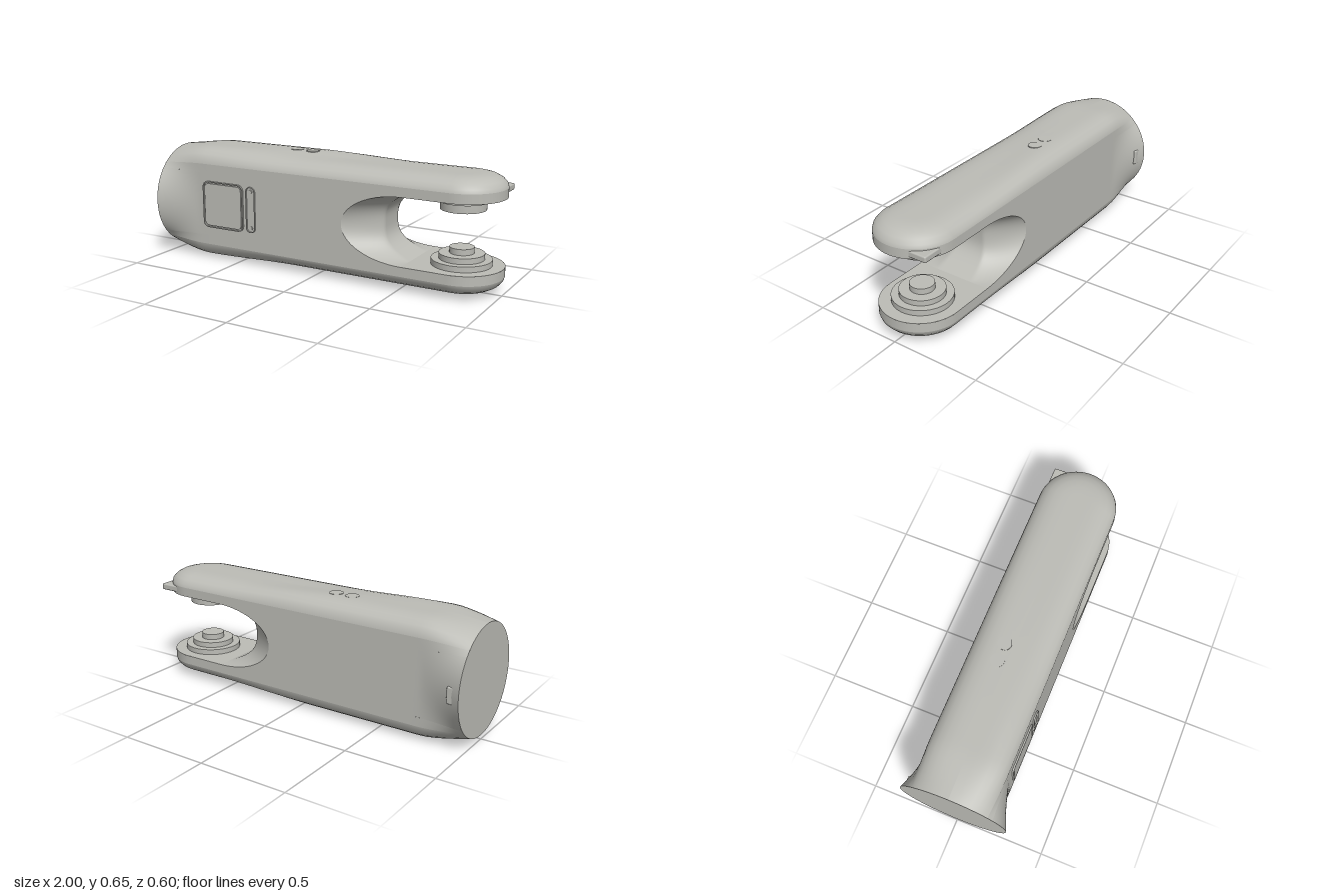
import * as THREE from 'three';
import { RoundedBoxGeometry } from 'three/addons/geometries/RoundedBoxGeometry.js';

const CY = 0.3225;   // height of the long axis
const HW = 0.22;     // half width of the body
const GAP = 0.183;   // half height of the fork gap
const TIP = 0.78;    // centre of the rounded arm ends
const ROOT = 0.53;   // where the arms leave the body

const grey = new THREE.MeshStandardMaterial({ color: 0xbcbcb6, side: THREE.DoubleSide });
grey.name = 'warm grey';

const clamp = (v) => Math.min(1, Math.max(0, v));
const smooth = (v) => { v = clamp(v); return v * v * (3 - 2 * v); };

// Surface from a rule fn(u, v) -> [x, y, z]
function grid(nu, nv, fn, flip = false) {
  const pos = [], idx = [];
  for (let j = 0; j <= nv; j++)
    for (let i = 0; i <= nu; i++) pos.push(...fn(i / nu, j / nv));
  for (let j = 0; j < nv; j++)
    for (let i = 0; i < nu; i++) {
      const a = j * (nu + 1) + i, b = a + 1, c = a + nu + 1, d = c + 1;
      if (flip) idx.push(a, c, b, b, c, d);
      else idx.push(a, b, c, b, d, c);
    }
  const g = new THREE.BufferGeometry();
  g.setAttribute('position', new THREE.Float32BufferAttribute(pos, 3));
  g.setIndex(idx);
  g.computeVertexNormals();
  return g;
}

// Body point: diagonal swell on top and bottom, flare to a round rear end
function bodyPoint(x, h, z) {
  const swell = 0.0175 * smooth((0.2 - 2 * z - x) / 0.6) * Math.sqrt(clamp((Math.abs(h) - 0.235) / 0.07));
  h += Math.sign(h) * swell;
  const t = Math.pow(clamp((-0.75 - x) / 0.25), 1.4);
  const a = Math.atan2(h, z);
  return [x, CY + h + (0.3 * Math.sin(a) - h) * t, z + (0.3 * Math.cos(a) - z) * t];
}

// Outline of an arm: front edge, rounded tip, back edge
function outline(u, r) {
  const s = u * 3;
  if (s <= 1) return [-1 + (TIP + 1) * s, r];
  if (s >= 2) return [-1 + (TIP + 1) * (3 - s), -r];
  const a = Math.PI * (1.5 - s);
  return [TIP + r * Math.cos(a), r * Math.sin(a)];
}

// Fork throat: rim on the side faces and wall at the middle
const rimX = (n) => ROOT - 0.35 * Math.sqrt(Math.max(0, 1 - n * n));
const coreX = (n) => 0.37 + (ROOT - 0.37) * Math.pow(Math.abs(n), 3);

function roundedRect(w, h, r) {
  const s = new THREE.Shape(), x = w / 2, y = h / 2;
  s.absarc(x - r, y - r, r, 0, Math.PI / 2);
  s.absarc(r - x, y - r, r, Math.PI / 2, Math.PI);
  s.absarc(r - x, r - y, r, Math.PI, Math.PI * 1.5);
  s.absarc(x - r, r - y, r, Math.PI * 1.5, Math.PI * 2);
  s.closePath();
  return s;
}

export function createModel() {
  const model = new THREE.Group();
  const add = (name, geo, x = 0, y = 0, z = 0) => {
    const m = new THREE.Mesh(geo, grey);
    m.name = name;
    m.position.set(x, y, z);
    model.add(m);
    return m;
  };

  // Upper and lower shells, each with a straight wall, a dome and an inner arm face
  const dome = [[HW, 0.235], [0.214, 0.254], [0.195, 0.275], [0.165, 0.292], [0.13, 0.301], [0.09, 0.305], [0.045, 0.305], [0, 0.305]];
  for (const s of [1, -1]) {
    const label = s > 0 ? 'upper' : 'lower';
    add(label + 'ArmWall', grid(120, 1, (u, v) => {
      const [x, z] = outline(u, HW);
      return bodyPoint(x, s * (GAP + (0.235 - GAP) * v), z);
    }, s < 0));
    add(label + 'Dome', grid(120, dome.length - 1, (u, v) => {
      const [r, h] = dome[Math.round(v * (dome.length - 1))];
      const [x, z] = outline(u, r);
      return bodyPoint(x, s * h, z);
    }, s < 0));
    add(label + 'ArmInnerFace', grid(24, 1, (u, v) => {
      const x = ROOT + (1 - ROOT) * Math.sin(u * Math.PI / 2);
      const w = x < TIP ? HW : Math.sqrt(Math.max(0, HW * HW - (x - TIP) ** 2));
      return [x, CY + s * GAP, w * (2 * v - 1)];
    }, s < 0));
  }

  // Side faces ending in the curved rim of the throat
  for (const s of [1, -1])
    add(s > 0 ? 'frontSide' : 'backSide', grid(60, 28, (u, v) => {
      const n = Math.sin((v - 0.5) * Math.PI);
      return bodyPoint(-1 + (rimX(n) + 1) * u, GAP * n, s * HW);
    }, s < 0));

  // Saddle-shaped throat wall between the arms
  add('forkThroat', grid(40, 28, (u, v) => {
    const n = Math.sin((v - 0.5) * Math.PI);
    const z = HW * (1 - 2 * u), flat = 0.08 + 0.03 * n * n;
    const k = Math.pow(clamp((Math.abs(z) - flat) / (HW - flat)), 1.25);
    return [coreX(n) + (rimX(n) - coreX(n)) * k, CY + GAP * n, z];
  }));

  // Flat round rear end
  add('rearCap', new THREE.CircleGeometry(0.3, 64), -1, CY, 0).rotation.y = -Math.PI / 2;

  // Stepped discs facing each other: radius, bottom, top
  const discs = [['upperWideDisc', 0.137, 0.478, 0.512], ['upperNarrowDisc', 0.12, 0.433, 0.478],
    ['lowerWideDisc', 0.16, 0.135, 0.17], ['lowerMiddleDisc', 0.12, 0.17, 0.2], ['lowerPin', 0.065, 0.2, 0.232]];
  for (const [name, r, y0, y1] of discs)
    add(name, new THREE.CylinderGeometry(r, r, y1 - y0, 48), 0.775, (y0 + y1) / 2, 0);

  // Tab on the back corner of the upper arm
  add('cornerTab', new RoundedBoxGeometry(0.17, 0.035, 0.115, 2, 0.008), 0.888, 0.532, -0.148);

  // Latch on the flared rear
  add('rearLatch', new RoundedBoxGeometry(0.06, 0.09, 0.05, 2, 0.008), -0.955, CY, -0.255);

  // Front panel: thin frame around a plate, with a slim indicator plate beside it
  const plate = (shape, depth) => new THREE.ExtrudeGeometry(shape, { depth, bevelEnabled: false, curveSegments: 8 });
  const frame = roundedRect(0.275, 0.27, 0.035);
  frame.holes.push(roundedRect(0.263, 0.258, 0.03));
  add('panelFrame', plate(frame, 0.009), -0.583, 0.326, HW);
  add('panelPlate', plate(roundedRect(0.25, 0.245, 0.026), 0.008), -0.583, 0.326, HW);
  const pill = roundedRect(0.06, 0.262, 0.028);
  pill.holes.push(roundedRect(0.051, 0.253, 0.024));
  add('indicatorFrame', plate(pill, 0.008), -0.395, 0.326, HW);
  for (const y of [0.222, 0.43])
    add('indicatorScrew', new THREE.CylinderGeometry(0.011, 0.011, 0.008, 16), -0.395, y, HW + 0.002).rotation.x = Math.PI / 2;

  // Two round buttons on the top
  for (const x of [-0.25, -0.15])
    add('topButton', new THREE.CylinderGeometry(0.038, 0.038, 0.008, 32), x, 0.642, -0.05);

  return model;
}
